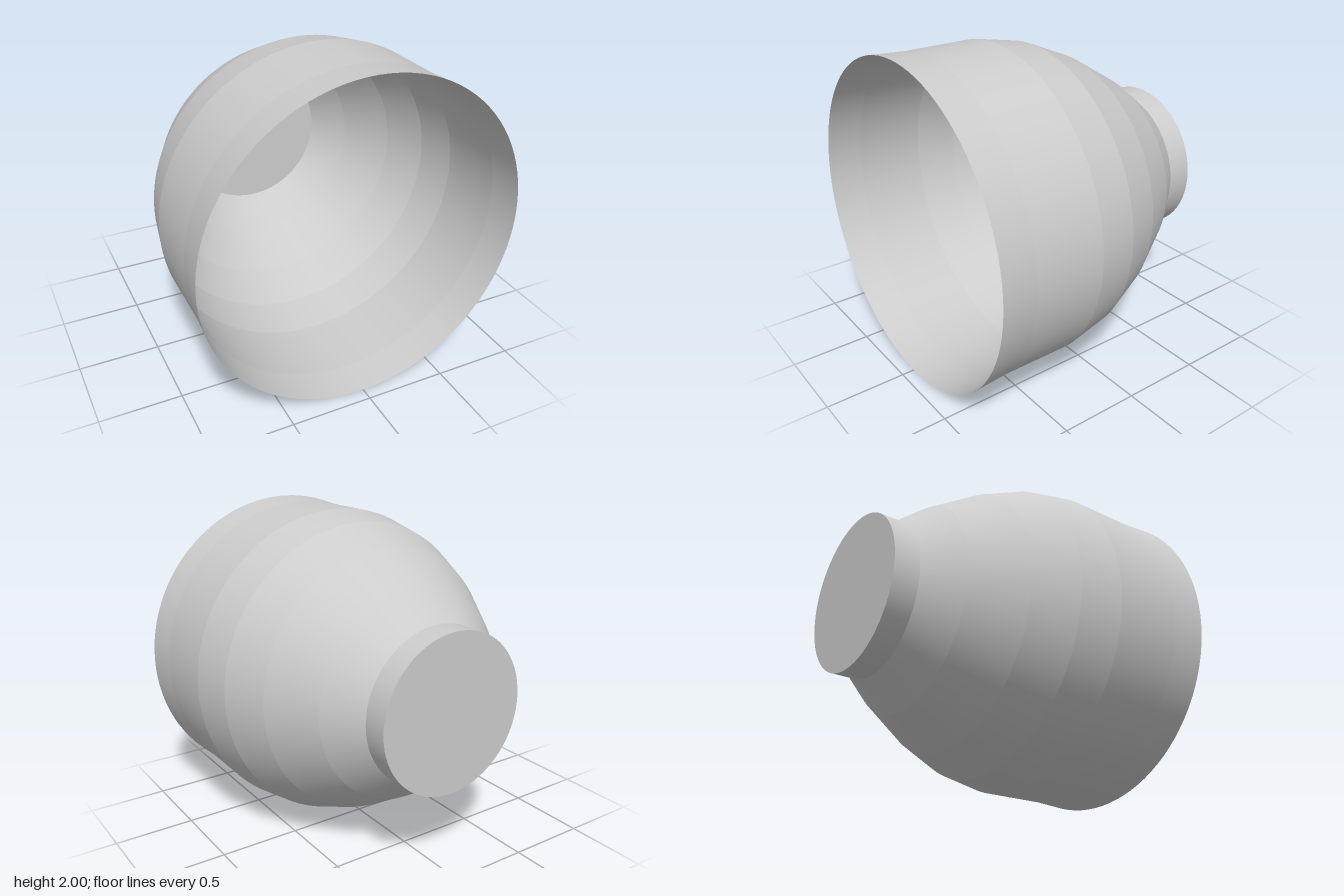
import * as THREE from 'three';
import { mergeGeometries } from 'three/addons/utils/BufferGeometryUtils.js';

const SIDES = 96;

// Round section along z: smooth around the axis, sharp at both ends
function section([zFront, rFront], [zBack, rBack], open) {
  const g = new THREE.CylinderGeometry(rFront, rBack, zFront - zBack, SIDES, 1, open);
  g.rotateX(Math.PI / 2);
  g.translate(0, 1, (zFront + zBack) / 2);
  return g;
}

export function createModel() {
  const model = new THREE.Group();
  model.name = 'bellShade';

  const grey = new THREE.MeshStandardMaterial({ color: 0xcccccc, side: THREE.DoubleSide });
  grey.name = 'light grey';

  // Thin open shell: [z, radius] from the mouth to the neck
  const profile = [
    [0.92, 1], [0.7, 0.986], [0.26, 0.986], [0, 0.937],
    [-0.26, 0.826], [-0.555, 0.645], [-0.76, 0.48],
  ];
  const bands = [];
  for (let i = 0; i < profile.length - 1; i++) {
    bands.push(section(profile[i], profile[i + 1], true));
  }
  const shell = new THREE.Mesh(mergeGeometries(bands), grey);
  shell.name = 'shell';
  model.add(shell);

  // Solid collar closing the narrow end
  const collar = new THREE.Mesh(section([-0.76, 0.48], [-0.92, 0.48], false), grey);
  collar.name = 'collar';
  model.add(collar);

  return model;
}
